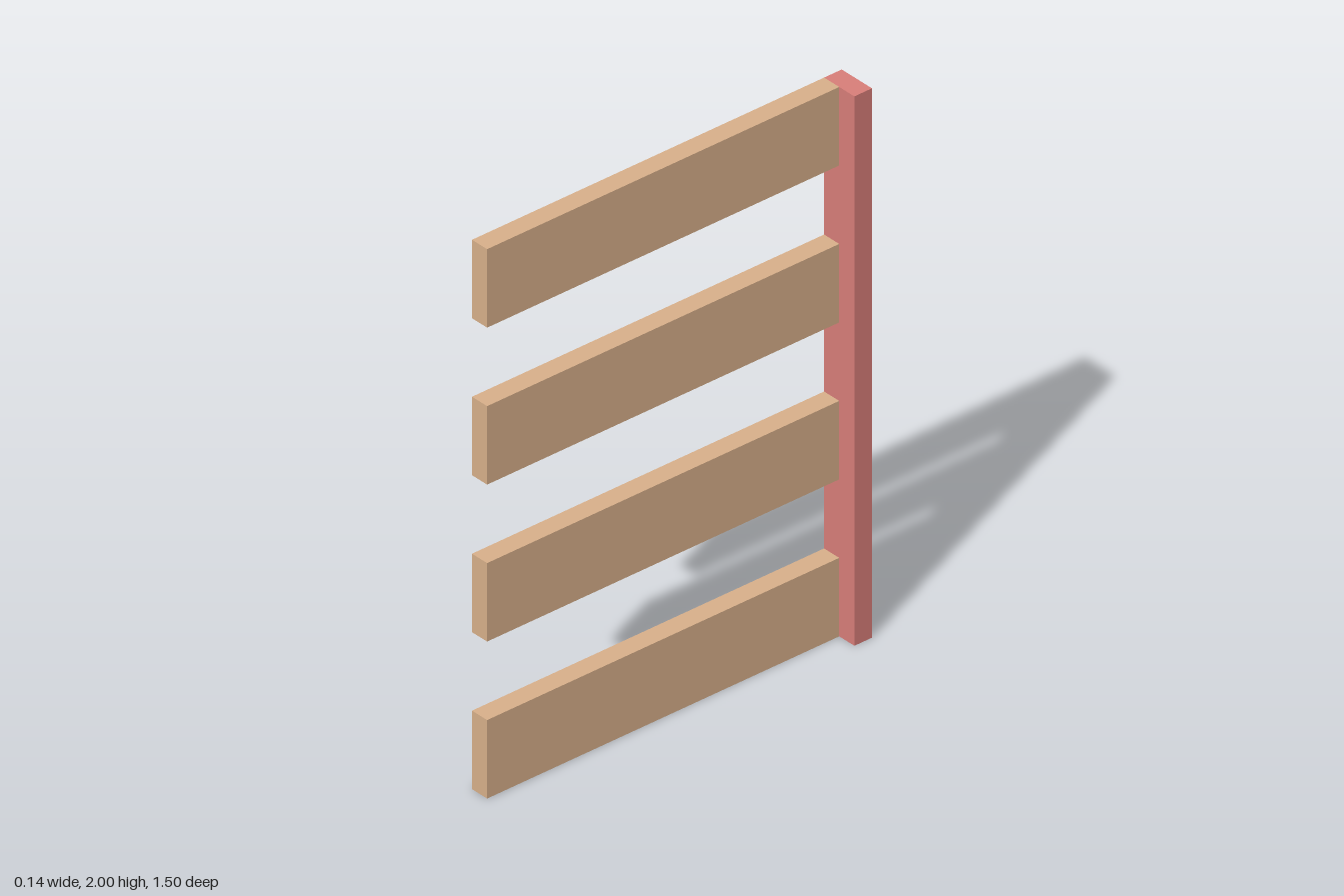
import * as THREE from 'three';

export function createModel() {
  const group = new THREE.Group();
  const wood = new THREE.MeshStandardMaterial({ color: 0xdbb28c });
  const red = new THREE.MeshStandardMaterial({ color: 0xdb807b });

  const height = 2, depth = 1.5;
  const thick = height / 28; // board thickness
  const plankHeight = height / 7; // planks and gaps share one height

  function addBoard(name, size, position, material) {
    const board = new THREE.Mesh(new THREE.BoxGeometry(...size), material);
    board.name = name;
    board.position.set(...position);
    group.add(board);
  }

  // Upright post at the back
  addBoard('post', [thick * 2, height, thick], [0, height / 2, (thick - depth) / 2], red);

  // Four horizontal planks butting against the front of the post
  for (let i = 0; i < 4; i++) {
    addBoard(
      `plank${i + 1}`,
      [thick, plankHeight, depth - thick],
      [-thick / 2, plankHeight * (2 * i + 0.5), thick / 2],
      wood
    );
  }

  return group;
}
